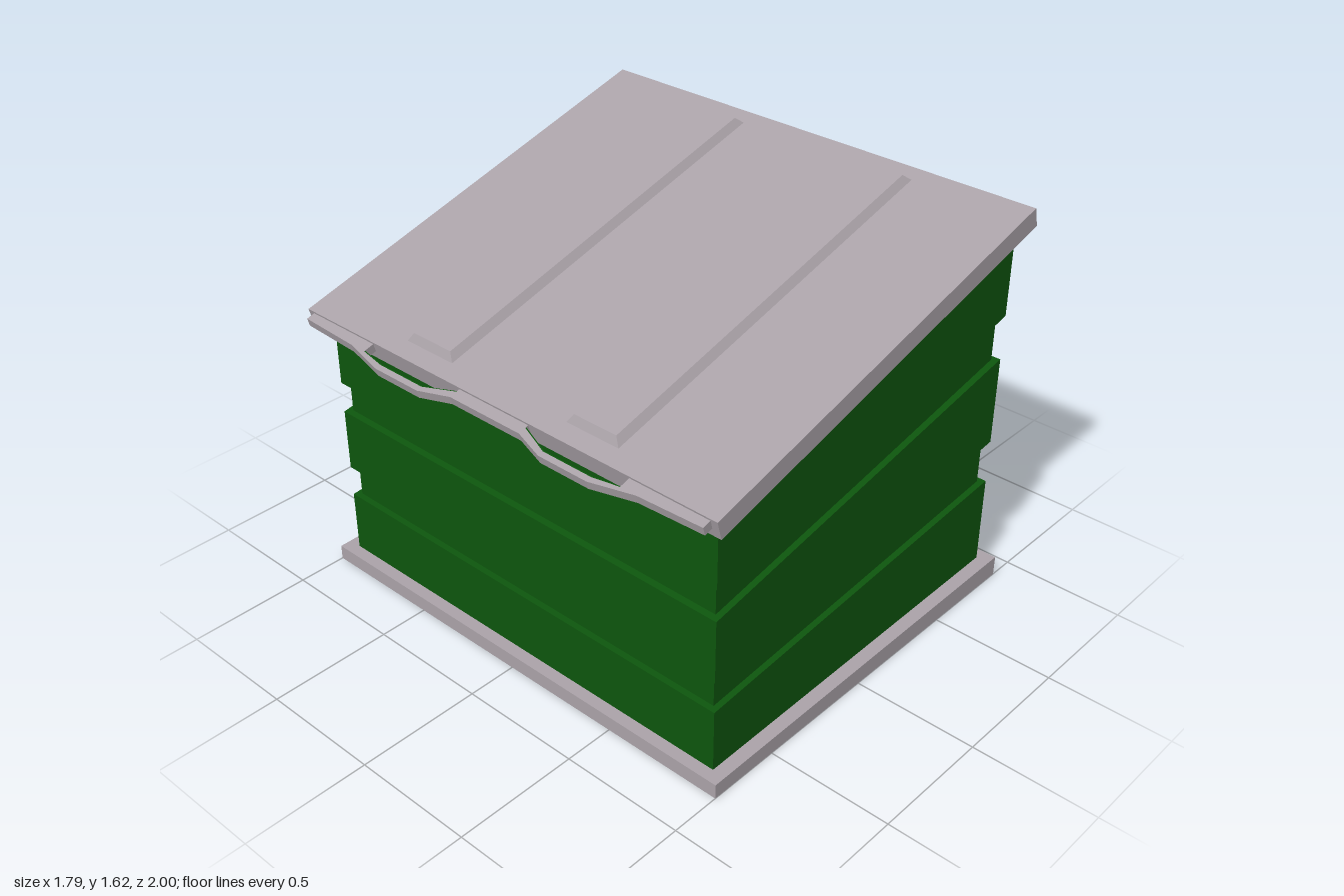
import * as THREE from 'three';

const grey = new THREE.MeshStandardMaterial({ color: 0xaaa2a8, flatShading: true });
const green = new THREE.MeshStandardMaterial({ color: 0x0d550d, flatShading: true });

const toShape = (pts) => new THREE.Shape(pts.map(([x, y]) => new THREE.Vector2(x, y)));

function add(parent, name, geometry, material) {
  const mesh = new THREE.Mesh(geometry, material);
  mesh.name = name;
  parent.add(mesh);
  return mesh;
}

// Prism: an outline in x/y, extruded along z and centred on z = 0
function prism(pts, halfDepth) {
  const g = new THREE.ExtrudeGeometry(toShape(pts), { depth: 2 * halfDepth, bevelEnabled: false });
  return g.translate(0, 0, -halfDepth);
}

// Flat plate: an outline in x/z, with its thickness going down from y = top
function plate(shape, top, thickness) {
  const g = new THREE.ExtrudeGeometry(shape, { depth: thickness, bevelEnabled: false });
  return g.rotateX(Math.PI / 2).translate(0, top, 0);
}

// Box whose upper face is inset on all four sides
function bevelledStrip(length, height, width, inset) {
  const g = new THREE.BoxGeometry(length, height, width);
  const p = g.attributes.position;
  for (let i = 0; i < p.count; i++) {
    if (p.getY(i) > 0) {
      p.setX(i, p.getX(i) - Math.sign(p.getX(i)) * inset);
      p.setZ(i, p.getZ(i) - Math.sign(p.getZ(i)) * inset);
    }
  }
  g.computeVertexNormals();
  return g;
}

export function createModel() {
  const model = new THREE.Group();
  model.name = 'slopedBin';

  // Base plate, slightly wedge shaped
  add(model, 'base', prism([[-0.8, 0], [0.895, 0], [0.895, 0.083], [-0.8, 0.06]], 1), grey);

  // Body: fanned bands, every second one recessed
  const body = new THREE.Group();
  body.name = 'body';
  model.add(body);
  const low = [0.06, 0.315, 0.443, 0.7, 0.828, 1.094];
  const high = [0.082, 0.449, 0.63, 0.993, 1.176, 1.53];
  for (let i = 0; i < 5; i++) {
    const inset = i % 2 ? 0.024 : 0;
    const l = -0.75 + inset, r = 0.845 - inset;
    add(body, inset ? 'recessedBand' : 'band',
      prism([[l, low[i]], [r, high[i]], [r, high[i + 1]], [l, low[i + 1]]], 0.945 - inset), green);
  }

  // Lid: local origin on its low upper edge, sloping up towards +x
  const lid = new THREE.Group();
  lid.name = 'lid';
  lid.position.set(-0.82, 1.155, 0);
  lid.rotation.z = Math.atan2(0.46, 1.69);
  model.add(lid);
  add(lid, 'lidPanel', prism([[0, -0.078], [1.752, -0.078], [1.752, 0], [0, 0]], 1), grey);

  // Raised strips on the lid
  for (const z of [-0.402, 0.398]) {
    add(lid, 'raisedStrip', bevelledStrip(1.61, 0.029, 0.236, 0.022), grey).position.set(0.88, 0.0145, z);
  }

  // Grip lip along the low edge, with two bowed handles
  const outer = [[-0.035, 0.97], [-0.045, 0.7], [-0.085, 0.52], [-0.085, 0.3], [-0.045, 0.17]];
  const inner = [[-0.044, 0.63], [-0.062, 0.52], [-0.062, 0.3], [-0.014, 0.17]];
  const mirror = (pts, s) => pts.map(([x, z]) => [x, s * z]);
  const lip = toShape([[0.02, 0.97], ...outer, ...mirror(outer, -1).reverse(), [0.02, -0.97]]);
  for (const s of [1, -1]) {
    const hole = mirror([[0.008, 0.63], ...inner, [0.008, 0.17]], s);
    lip.holes.push(new THREE.Path(hole.map(([x, z]) => new THREE.Vector2(x, z))));
    // Green lining on the inside of the handle
    const lining = inner.map(([x, z]) => [x + 0.005, z]).reverse();
    add(lid, 'handleLining', plate(toShape(mirror([...inner, ...lining], s)), -0.01, 0.03), green);
  }
  add(lid, 'handleLip', plate(lip, -0.008, 0.034), grey);

  return model;
}
